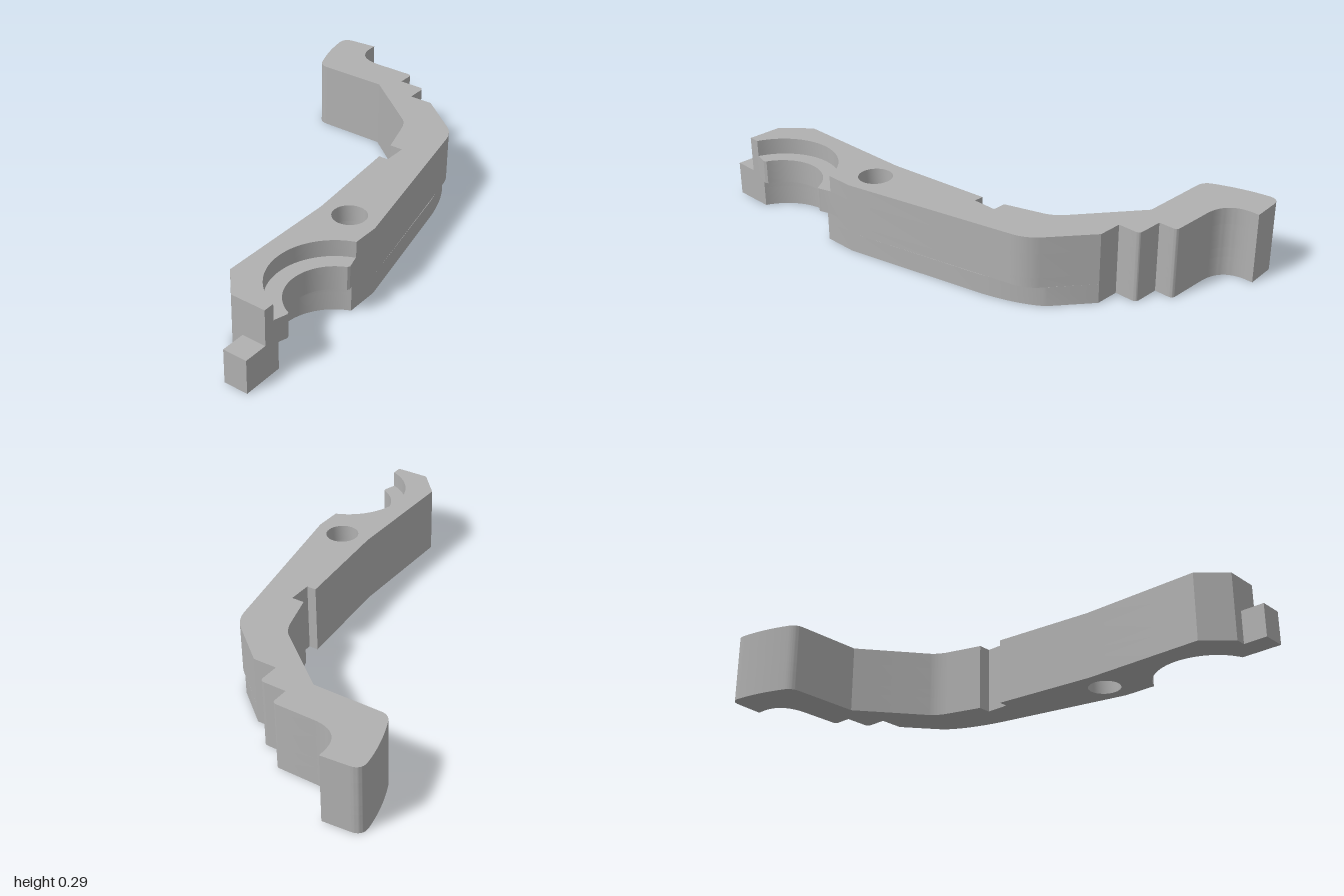
import * as THREE from 'three';
import { toCreasedNormals } from 'three/addons/utils/BufferGeometryUtils.js';

const grey = new THREE.MeshStandardMaterial({ color: 0xb0b0b0 });
grey.name = 'plain grey';

// Centre of the round clamp recess
const CX = 0.605, CZ = 0.62;

// Recess of radius r, ending where it meets x = edge
function recess(r, edge) {
  const a = Math.acos((edge - CX) / r);
  return Array.from({ length: 33 }, (_, i) => {
    const t = a + (2 * Math.PI - 2 * a) * i / 32;
    return [CX + r * Math.cos(t), CZ + r * Math.sin(t)];
  });
}

// Plan outline as x, z; four numbers mean a quadratic curve (control, end)
function plan(notch, softBend) {
  const bend = softBend
    ? [[0.395, -0.32], [0.355, -0.48, 0.29, -0.56]]
    : [[0.367, -0.44], [0.355, -0.505, 0.31, -0.543]];
  const path = [
    // hooked tail
    [-0.38, -1], [-0.495, -0.99], [-0.54, -0.985, -0.535, -0.94],
    [-0.52, -0.83, -0.473, -0.725], [-0.458, -0.69, -0.42, -0.69],
    // inner side with small notch
    [-0.135, -0.69], [0.125, -0.487], [0.152, -0.465, 0.168, -0.42],
    [0.215, -0.27], [0.27, -0.27], [0.27, -0.17], [0.23, -0.17],
    [0.275, 0.27], [0.275, 0.79], [0.375, 0.9], [0.52, 0.9],
    // clamp recess and outer side
    ...notch, [0.52, 0.27], ...bend, [0.14, -0.68],
    // steps leading back to the tail
    [0.04, -0.68], [0.04, -0.755], [0.04, -0.775, 0.02, -0.775],
    [-0.075, -0.775], [-0.075, -0.835], [-0.075, -0.855, -0.095, -0.855],
    [-0.26, -0.855], [-0.375, -0.86, -0.38, -0.965],
  ];
  const shape = new THREE.Shape();
  path.forEach((p, i) => {
    if (i === 0) shape.moveTo(p[0], -p[1]);
    else if (p.length === 4) shape.quadraticCurveTo(p[0], -p[1], p[2], -p[3]);
    else shape.lineTo(p[0], -p[1]);
  });
  shape.closePath();
  // pivot hole
  shape.holes.push(new THREE.Path().absarc(0.395, -0.255, 0.068, 0, Math.PI * 2, true));
  return shape;
}

function layer(name, shape, y0, y1) {
  const g = new THREE.ExtrudeGeometry(shape, { depth: y1 - y0, bevelEnabled: false, curveSegments: 16 });
  g.rotateX(-Math.PI / 2);
  g.translate(0, y0, 0);
  const mesh = new THREE.Mesh(toCreasedNormals(g, 0.4), grey);
  mesh.name = name;
  return mesh;
}

export function createModel() {
  const group = new THREE.Group();
  group.name = 'leverArm';
  const lower = recess(0.227, 0.52);
  const upper = recess(0.25, 0.52);
  // ridge inside the recess, with small tips standing proud of the side
  const ridge = [[0.52, 0.85], [0.535, 0.8], [0.53, 0.787], ...recess(0.185, 0.53),
    [0.535, 0.44], [0.52, 0.39]];
  group.add(
    layer('armBase', plan(lower, true), 0, 0.08),
    layer('armLower', plan(lower, false), 0.08, 0.12),
    layer('armRidge', plan(ridge, false), 0.12, 0.22),
    layer('armTop', plan(upper, false), 0.22, 0.288),
  );
  // half-height end tab
  const tab = new THREE.Mesh(new THREE.BoxGeometry(0.1, 0.14, 0.1), grey);
  tab.position.set(0.47, 0.07, 0.95);
  tab.name = 'endTab';
  group.add(tab);
  return group;
}
